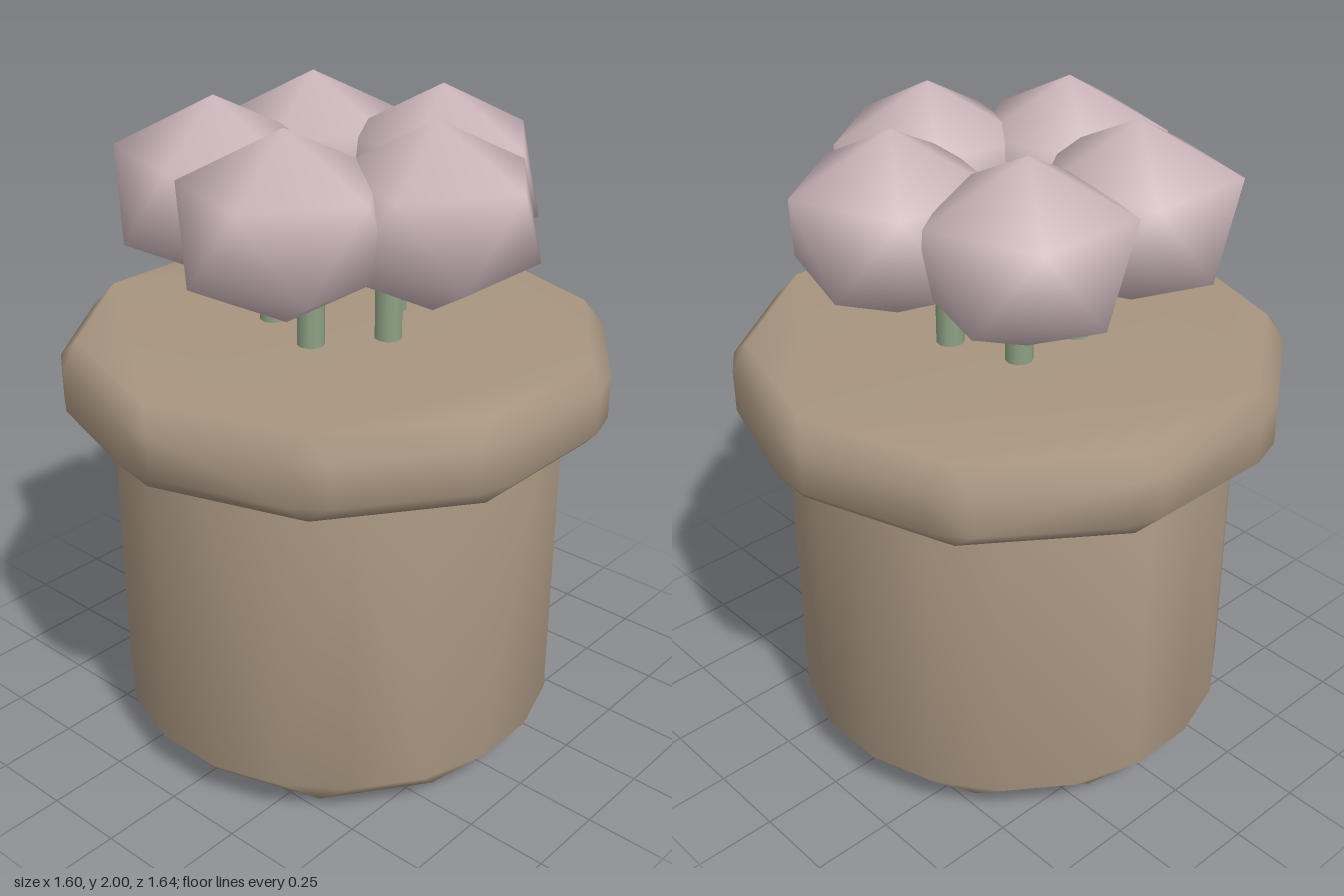
import * as THREE from 'three';
import { mergeVertices } from 'three/addons/utils/BufferGeometryUtils.js';
import { ConvexGeometry } from 'three/addons/geometries/ConvexGeometry.js';

const rad = THREE.MathUtils.degToRad;

// Ring of points around y; spread splits every corner into two (a bevelled corner)
function ring(count, radius, y, start, spread = 0) {
  const points = [];
  for (let i = 0; i < count; i++) {
    const centre = start + (360 * i) / count;
    for (const a of spread ? [centre - spread, centre + spread] : [centre]) {
      points.push(new THREE.Vector3(radius * Math.cos(rad(a)), y, radius * Math.sin(rad(a))));
    }
  }
  return points;
}

// Smooth-shaded solid spanning the given points
function smoothHull(points) {
  const hull = new ConvexGeometry(points);
  hull.deleteAttribute('normal');
  const geometry = mergeVertices(hull, 1e-4);
  geometry.computeVertexNormals();
  return geometry;
}

// Ten-sided drum with bevelled edges and corners
function bevelledDrum(y0, y1, bevel, capRadius, sideRadius, spread) {
  return smoothHull([
    ...ring(10, capRadius, y0, 18),
    ...ring(10, sideRadius, y0 + bevel, 18, spread),
    ...ring(10, sideRadius, y1 - bevel, 18, spread),
    ...ring(10, capRadius, y1, 18),
  ]);
}

export function createModel() {
  const clay = new THREE.MeshStandardMaterial({ name: 'clay', color: 0xa89580 });
  const petal = new THREE.MeshStandardMaterial({ name: 'petal', color: 0xcfb9be });
  const leaf = new THREE.MeshStandardMaterial({ name: 'stem green', color: 0x8fa285 });

  const model = new THREE.Group();
  model.name = 'flowerPot';
  const add = (name, geometry, material, x = 0, y = 0, z = 0) => {
    const mesh = new THREE.Mesh(geometry, material);
    mesh.name = name;
    mesh.position.set(x, y, z);
    model.add(mesh);
  };

  // Pot
  add('potBody', bevelledDrum(0, 1.17, 0.13, 0.573, 0.686, 9), clay);
  add('potRim', bevelledDrum(1.08, 1.33, 0.06, 0.778, 0.823, 4.1), clay);

  // Faceted bloom: two poles and two staggered five-point rings
  const bloom = smoothHull([
    new THREE.Vector3(0, 0.272, 0),
    ...ring(5, 0.295, 0.122, 0),
    ...ring(5, 0.295, -0.122, 36),
    new THREE.Vector3(0, -0.272, 0),
  ]);
  const stem = new THREE.CylinderGeometry(0.041, 0.041, 0.42, 10);

  // Five flowers in a circle
  for (let i = 0; i < 5; i++) {
    const c = Math.cos(rad(72 * i)), s = Math.sin(rad(72 * i));
    add('stem' + (i + 1), stem, leaf, 0.195 * c, 1.5, 0.195 * s);
    add('bloom' + (i + 1), bloom, petal, 0.355 * c, 1.728, 0.355 * s);
  }
  return model;
}
